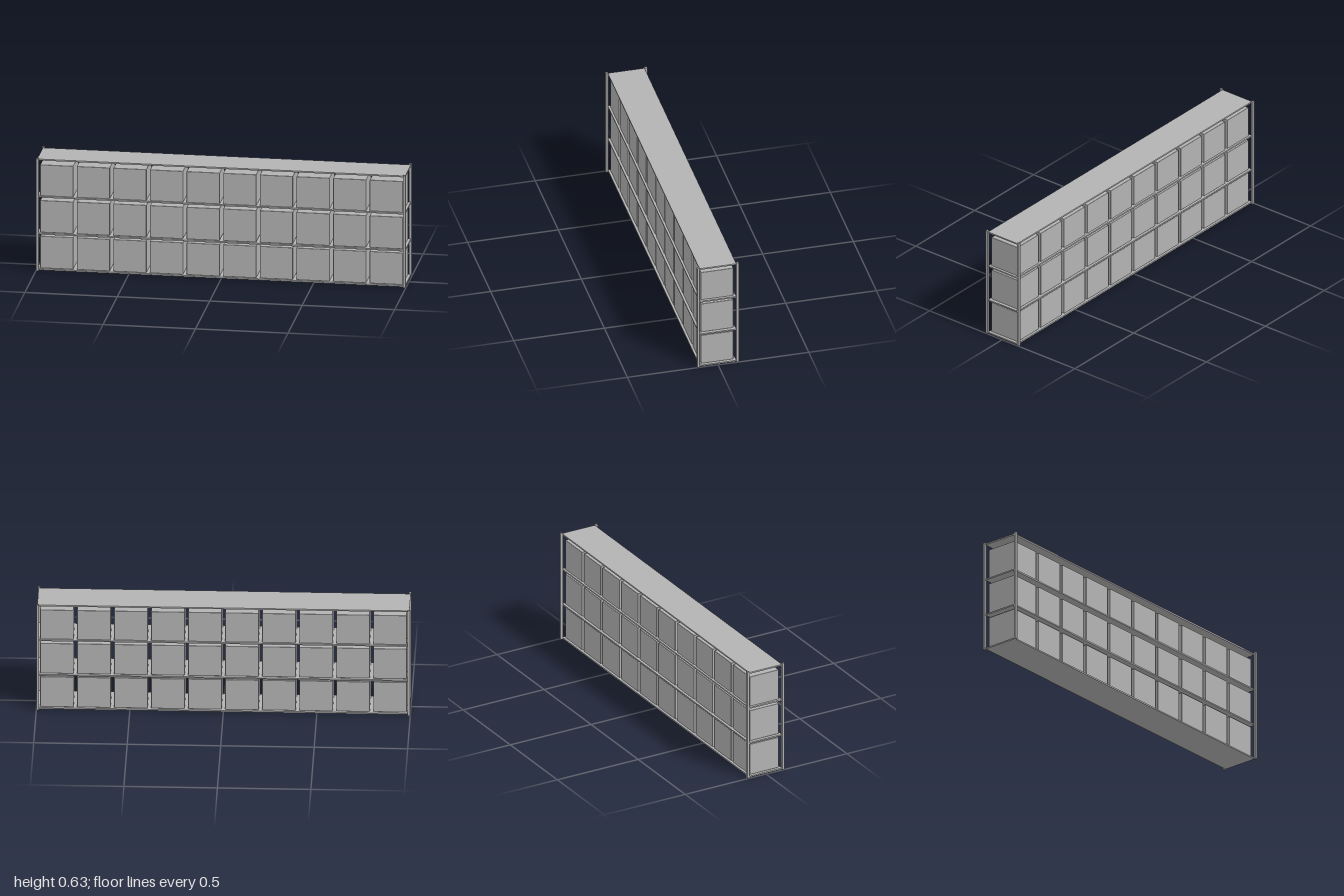
import * as THREE from 'three';
import { RoundedBoxGeometry } from 'three/addons/geometries/RoundedBoxGeometry.js';

export function createModel() {
  const group = new THREE.Group();
  group.name = 'storageRack';
  const gray = new THREE.MeshStandardMaterial({ color: 0xb3b3b3 });
  gray.name = 'plain gray';

  const add = (name, geometry, x, y, z) => {
    const mesh = new THREE.Mesh(geometry, gray);
    mesh.name = name;
    mesh.position.set(x, y, z);
    group.add(mesh);
  };

  // Four corner posts with softened edges
  const height = 0.63;
  const post = new RoundedBoxGeometry(0.015, height, 0.015, 2, 0.002);
  for (const x of [-0.9925, 0.9925]) {
    for (const z of [-0.108, 0.108]) add('cornerPost', post, x, height / 2, z);
  }

  // Four thin shelf boards between the front and back posts
  const shelf = new THREE.BoxGeometry(1.99, 0.008, 0.202);
  for (const y of [0.006, 0.205, 0.412, 0.62]) add('shelf', shelf, 0, y, 0);

  // Three rows of ten storage boxes
  const size = 0.179;
  const box = new RoundedBoxGeometry(size, size, size, 2, 0.003);
  for (const bottom of [0.01, 0.21, 0.41]) {
    for (let i = 0; i < 10; i++) {
      add('storageBox', box, (i - 4.5) * 0.198, bottom + size / 2, 0);
    }
  }
  return group;
}
